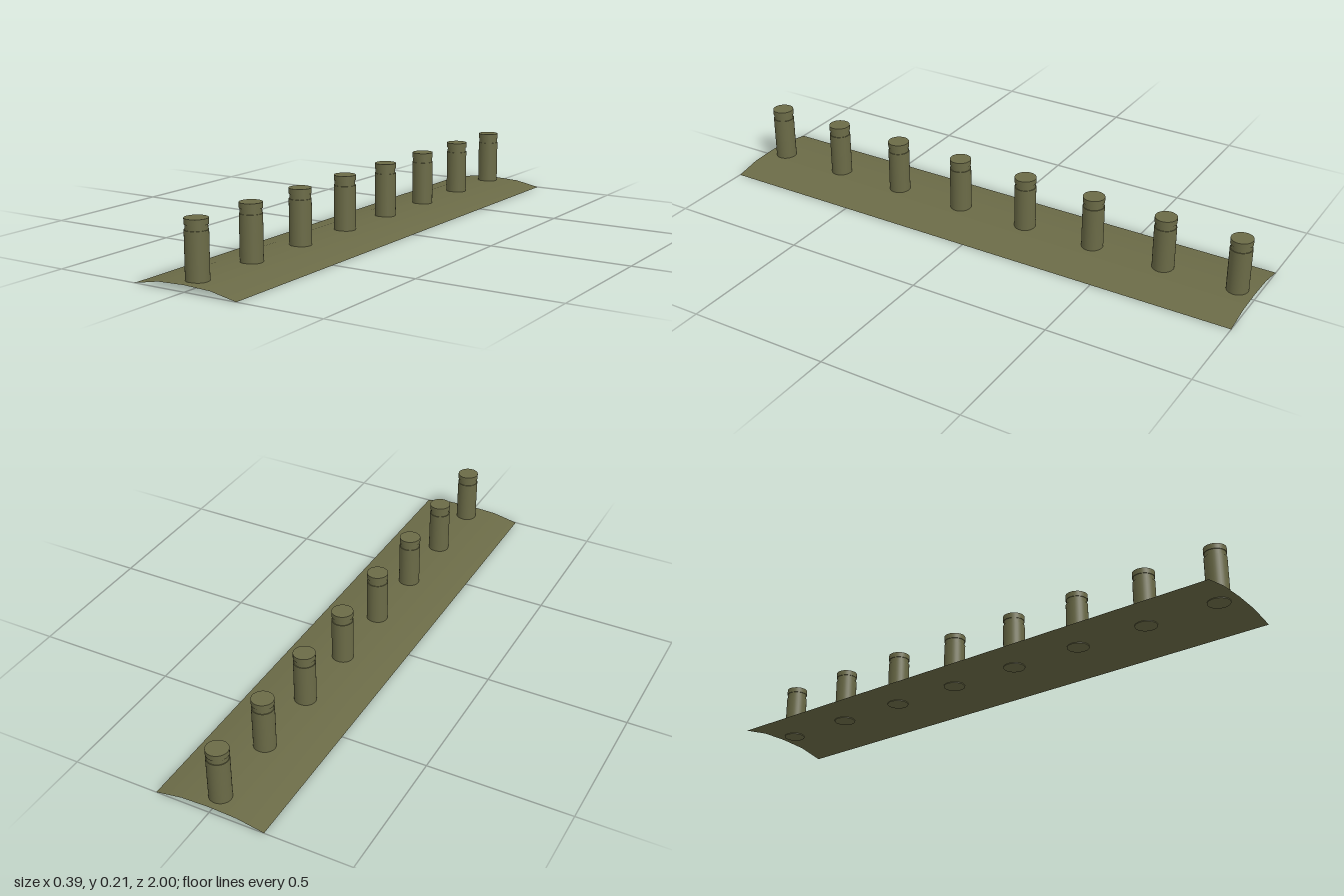
import * as THREE from 'three';

const olive = new THREE.MeshStandardMaterial({ color: 0x6b6b47, side: THREE.DoubleSide });

// Thin sheet, arched across its width
function makePlate() {
  const profile = [[-0.195, 0], [-0.1, 0.018], [0, 0.022], [0.1, 0.018], [0.195, 0]];
  const geo = new THREE.PlaneGeometry(1, 2, profile.length - 1, 1).rotateX(-Math.PI / 2);
  const pos = geo.attributes.position;
  for (let i = 0; i < pos.count; i++) {
    const [x, y] = profile[i % profile.length];
    pos.setXYZ(i, x, y, pos.getZ(i));
  }
  geo.computeVertexNormals();
  const plate = new THREE.Mesh(geo, olive);
  plate.name = 'curvedPlate';
  return plate;
}

// Post made of a shaft, a narrower neck and a cap
function makePost() {
  const post = new THREE.Group();
  const sections = [
    ['shaft', 0.038, 0.018, 0.178],
    ['neck', 0.0355, 0.178, 0.195],
    ['cap', 0.038, 0.195, 0.214],
  ];
  for (const [name, radius, bottom, top] of sections) {
    const part = new THREE.Mesh(new THREE.CylinderGeometry(radius, radius, top - bottom, 32), olive);
    part.name = name;
    part.position.y = (bottom + top) / 2;
    post.add(part);
  }
  return post;
}

export function createModel() {
  const model = new THREE.Group();
  model.name = 'postRail';
  model.add(makePlate());

  // Row of eight evenly spaced posts
  for (let i = 0; i < 8; i++) {
    const post = makePost();
    post.name = `post${i + 1}`;
    post.position.set(-0.004, 0, -0.938 + i * 0.267);
    model.add(post);
  }
  return model;
}
